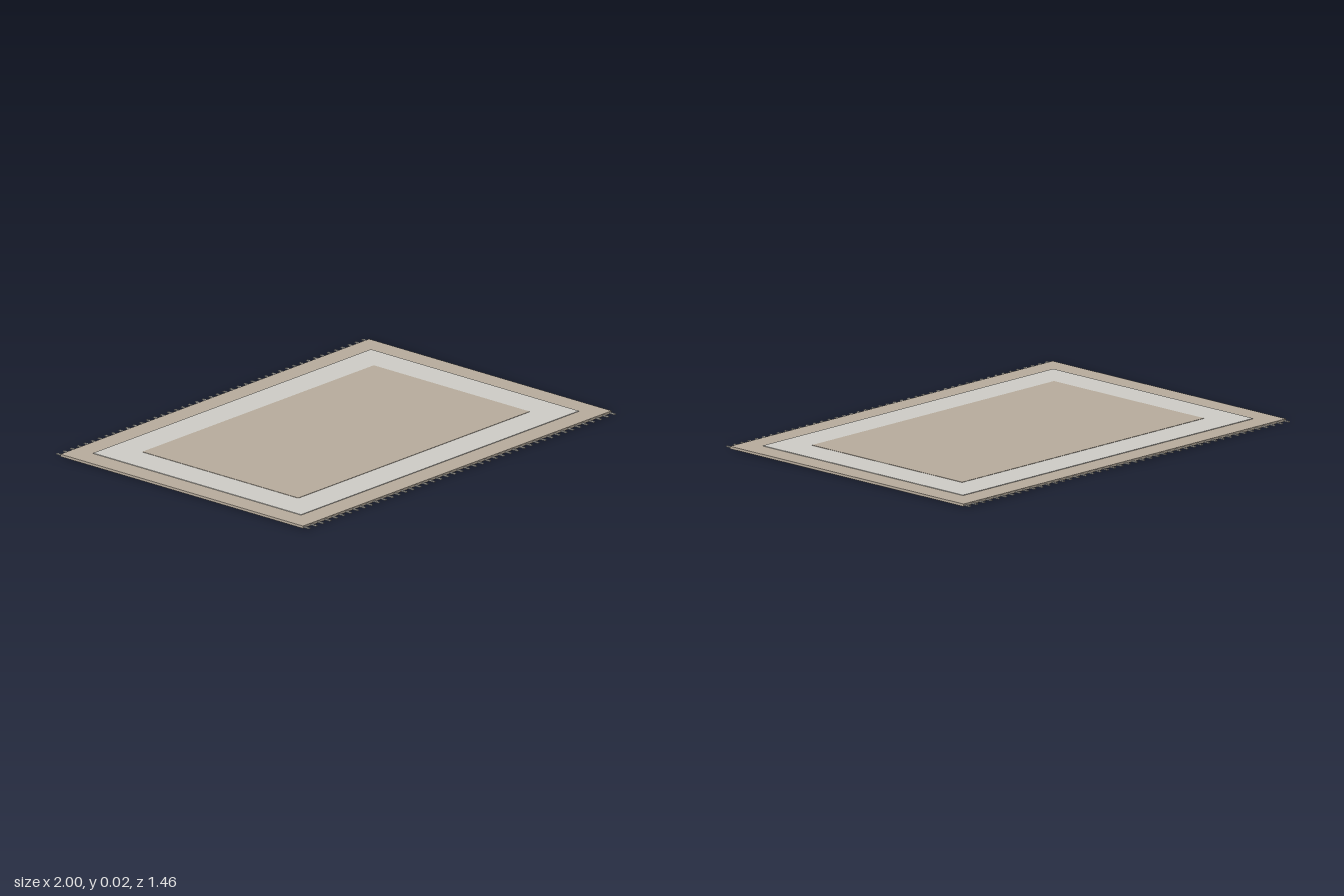
import * as THREE from 'three';

const tan = new THREE.MeshStandardMaterial({ color: 0xb5aa9b });
const pale = new THREE.MeshStandardMaterial({ color: 0xcccac4 });

export function createModel() {
  const rug = new THREE.Group();
  rug.name = 'rug';

  // A flat slab spanning y0 to y1
  function slab(name, width, depth, y0, y1, material, x = 0, z = 0, parent = rug) {
    const mesh = new THREE.Mesh(new THREE.BoxGeometry(width, y1 - y0, depth), material);
    mesh.name = name;
    mesh.position.set(x, (y0 + y1) / 2, z);
    parent.add(mesh);
  }

  // Woven layers, each slightly proud of the one around it
  slab('outerBorder', 2, 1.4, 0.0006, 0.012, tan);
  slab('innerBorder', 1.8, 1.2, 0, 0.0145, pale);
  slab('centreField', 1.5, 0.9, 0.001, 0.016, tan);

  // Fringe threads along the front and back edges
  const count = 45;
  for (const side of [1, -1]) {
    const fringe = new THREE.Group();
    fringe.name = side > 0 ? 'frontFringe' : 'backFringe';
    for (let i = 0; i < count; i++) {
      const x = -0.99 + (1.98 * i) / (count - 1);
      slab('fringeThread', 0.01, 0.04, 0.003, 0.007, pale, x, side * 0.71, fringe);
    }
    rug.add(fringe);
  }
  return rug;
}
